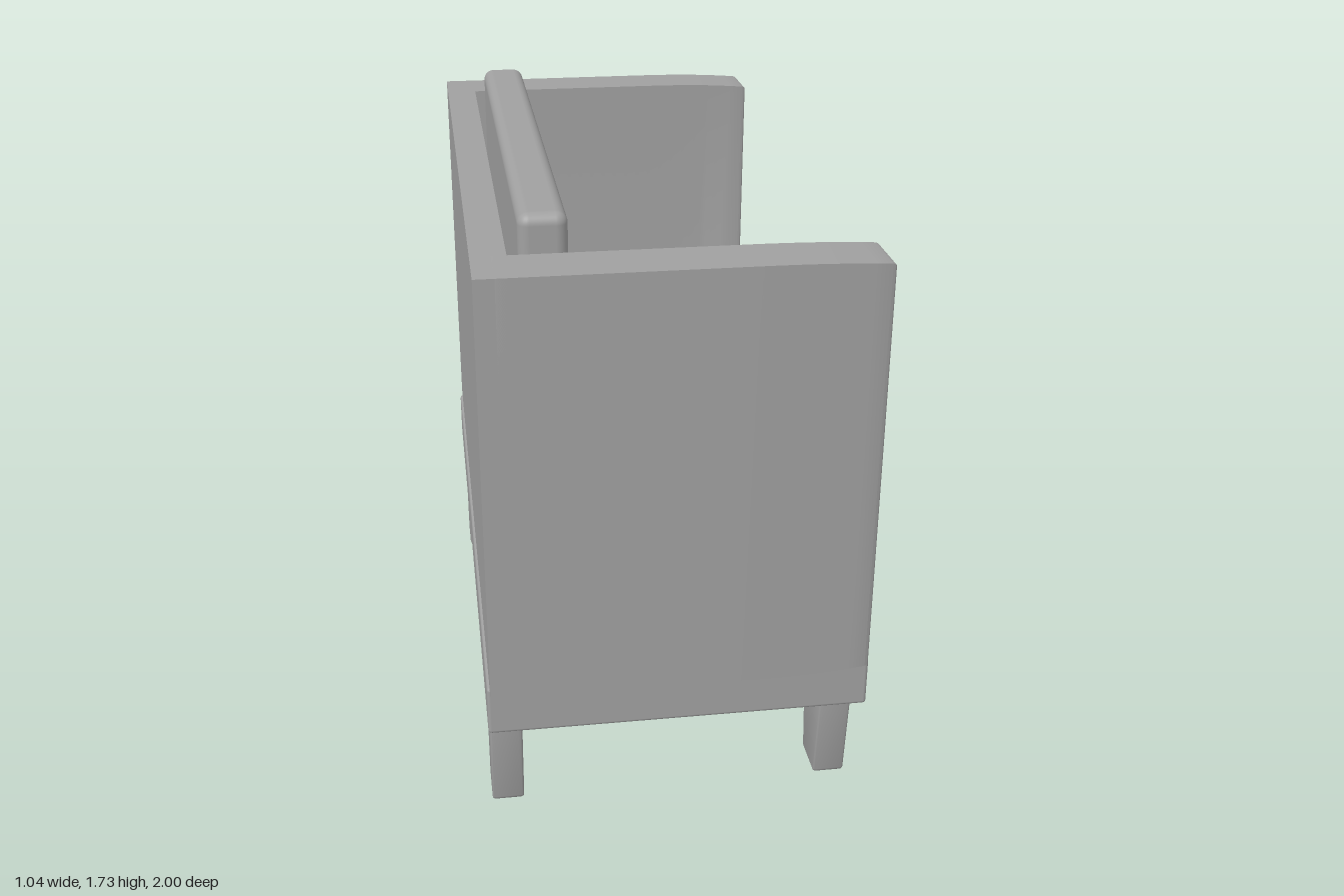
import * as THREE from 'three';
import { RoundedBoxGeometry } from 'three/addons/geometries/RoundedBoxGeometry.js';
import { toCreasedNormals } from 'three/addons/utils/BufferGeometryUtils.js';

const grey = new THREE.MeshStandardMaterial({ color: 0xa0a0a0 });
grey.name = 'grey upholstery';

function add(parent, name, geometry) {
  const mesh = new THREE.Mesh(geometry, grey);
  mesh.name = name;
  parent.add(mesh);
  return mesh;
}

// Soft-edged box given by its lower and upper corners
function softBox(min, max, radius, segments = 4) {
  const size = max.map((v, i) => v - min[i]);
  const geo = new RoundedBoxGeometry(...size, segments, radius);
  return geo.translate(...max.map((v, i) => (v + min[i]) / 2));
}

// Floor and both arms as one U-shaped section, drawn in the z-y plane
function shellGeometry() {
  const outer = 1, inner = 0.84, low = 0.48, floor = 0.665, high = 1.645, r = 0.02;
  const s = new THREE.Shape();
  s.moveTo(-outer, low);
  s.lineTo(outer, low);
  s.lineTo(outer, high);
  s.lineTo(inner, high);
  s.lineTo(inner, floor + r);
  s.quadraticCurveTo(inner, floor, inner - r, floor);
  s.lineTo(-inner + r, floor);
  s.quadraticCurveTo(-inner, floor, -inner, floor + r);
  s.lineTo(-inner, high);
  s.lineTo(-outer, high);
  s.closePath();

  const bevel = 0.012, back = -0.47, front = 0.505;
  const geo = new THREE.ExtrudeGeometry(s, {
    depth: front - back - 2 * bevel, steps: 24, curveSegments: 5,
    bevelThickness: bevel, bevelSize: bevel, bevelOffset: -bevel, bevelSegments: 3,
  });
  geo.translate(0, 0, back + bevel).rotateY(Math.PI / 2);

  // Draw the section gently inwards towards the front
  const p = geo.attributes.position;
  const middle = (low + high) / 2;
  for (let i = 0; i < p.count; i++) {
    const t = Math.max(0, (p.getX(i) - 0.15) / 0.35) ** 2.5;
    const y = p.getY(i), z = p.getZ(i);
    p.setY(i, y - ((y - middle) / (high - middle)) * 0.012 * t);
    p.setZ(i, z * (1 - 0.008 * t));
  }
  return toCreasedNormals(geo, 0.6);
}

// Leg that narrows downwards along z only
function legGeometry() {
  const height = 0.34;
  const geo = new RoundedBoxGeometry(0.09, height, 0.21, 2, 0.01);
  geo.translate(0, height / 2, 0);
  const p = geo.attributes.position;
  for (let i = 0; i < p.count; i++) {
    p.setZ(i, p.getZ(i) * THREE.MathUtils.lerp(0.6, 1, p.getY(i) / height));
  }
  return toCreasedNormals(geo, 0.6);
}

export function createModel() {
  const sofa = new THREE.Group();
  sofa.name = 'sofa';

  // Upholstered shell
  const shell = new THREE.Group();
  shell.name = 'shell';
  sofa.add(shell);
  add(shell, 'armsAndFloor', shellGeometry());
  add(shell, 'backrest', new THREE.BoxGeometry(0.09, 1.165, 2).translate(-0.465, 1.0625, 0));

  // Cushions
  add(sofa, 'seatCushion', softBox([-0.4, 0.675, -0.8], [0.505, 0.91, 0.8], 0.04));
  add(sofa, 'backCushion', softBox([-0.39, 0.918, -0.8], [-0.265, 1.73, 0.8], 0.03));

  // Plinth
  add(sofa, 'base', softBox([-0.518, 0.338, -0.952], [0.518, 0.482, 0.952], 0.01, 2));

  // Legs
  const leg = legGeometry();
  for (const x of [-1, 1]) {
    for (const z of [-1, 1]) {
      const name = (x > 0 ? 'front' : 'rear') + (z > 0 ? 'Right' : 'Left') + 'Leg';
      add(sofa, name, leg).position.set(0.466 * x, 0, 0.738 * z);
    }
  }
  return sofa;
}
